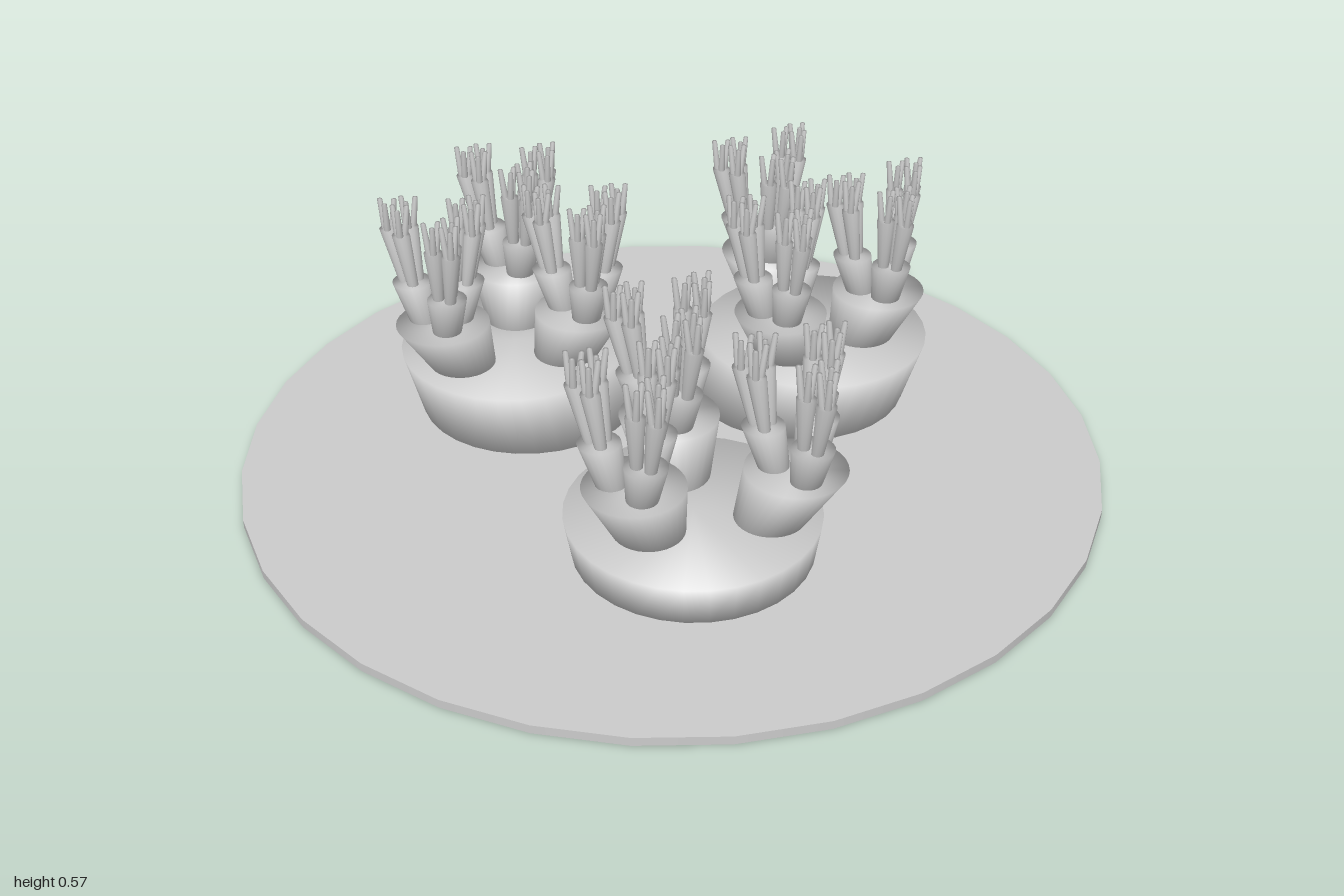
import * as THREE from 'three';
import { mergeVertices } from 'three/addons/utils/BufferGeometryUtils.js';

const material = new THREE.MeshStandardMaterial({ color: 0xcccccc });

// Heights of the joints between the five tiers, and [bottom, top] radius and sides of each tier
const HEIGHTS = [0.015, 0.15, 0.275, 0.37, 0.5, 0.57];
const TIERS = [
  { name: 'moundBase', r0: 0.266, r1: 0.277, sides: 32 },
  { name: 'trunk', r0: 0.078, r1: 0.11, sides: 32 },
  { name: 'branch', r0: 0.034, r1: 0.046, sides: 20 },
  { name: 'stalk', r0: 0.013, r1: 0.021, sides: 12 },
  { name: 'tip', r0: 0.008, r1: 0.006, sides: 8 },
];

// Clusters: foot and top centre of the mound, centres of the trunk tops,
// and the lean of the three branches on every trunk (all as [x, z])
const CLUSTERS = [
  {
    name: 'frontCluster', foot: [0, 0.395], top: [-0.008, 0.447],
    trunks: [[-0.037, 0.265], [-0.14, 0.524], [0.2, 0.5]],
    lean: [[-0.09, -0.035], [0.066, -0.06], [0.024, 0.095]],
  },
  {
    name: 'backLeftCluster', foot: [0.335, -0.235], top: [0.385, -0.268],
    trunks: [[0.294, -0.462], [0.533, -0.23], [0.278, -0.145]],
    lean: [[-0.09, -0.008], [0.074, -0.074], [0.016, 0.085]],
  },
  {
    name: 'backRightCluster', foot: [-0.315, -0.255], top: [-0.35, -0.3],
    trunks: [[-0.337, -0.458], [-0.52, -0.19], [-0.192, -0.215]],
    lean: [[-0.087, -0.05], [0.077, -0.034], [0.02, 0.08]],
  },
];

const along = (c, d, k) => [c[0] + d[0] * k, c[1] + d[1] * k];

// Leaning tapered stub with level ends, softly shaded over its rim
function stub(tier, from, to) {
  const { name, r0, r1, sides } = TIERS[tier];
  const y0 = HEIGHTS[tier] - 0.002, y1 = HEIGHTS[tier + 1], h = y1 - y0;
  let geo = new THREE.CylinderGeometry(r1, r0, h, sides);
  geo.deleteAttribute('uv');
  geo.deleteAttribute('normal');
  geo = mergeVertices(geo);
  const p = geo.attributes.position;
  for (let i = 0; i < p.count; i++) {
    const t = p.getY(i) / h + 0.5;
    p.setXYZ(i,
      p.getX(i) + from[0] + (to[0] - from[0]) * t,
      y0 + t * h,
      p.getZ(i) + from[1] + (to[1] - from[1]) * t);
  }
  geo.computeVertexNormals();
  const mesh = new THREE.Mesh(geo, material);
  mesh.name = name;
  return mesh;
}

// Three unit directions, a third of a turn apart
const triad = (turn) => [0, 1, 2].map((i) => {
  const a = turn + (i * Math.PI * 2) / 3;
  return [Math.cos(a), Math.sin(a)];
});

// Branch carrying three stalks, each with three tips
function buildBranch(centre, lean, turn) {
  const group = new THREE.Group();
  group.name = 'branchGroup';
  const top = along(centre, lean, 0.75);
  group.add(stub(2, along(centre, lean, 0.5), top));
  const crown = along(centre, lean, 0.97);
  for (const d of triad(turn)) {
    const stalkTop = along(crown, d, 0.028);
    group.add(stub(3, along(top, d, 0.019), stalkTop));
    for (const e of triad(turn + 0.3)) {
      group.add(stub(4, along(stalkTop, e, 0.01), along(stalkTop, e, 0.019)));
    }
  }
  return group;
}

function buildCluster({ name, foot, top, trunks, lean }) {
  const group = new THREE.Group();
  group.name = name;
  group.add(stub(0, foot, top));
  trunks.forEach((c, i) => {
    const out = [c[0] - top[0], c[1] - top[1]];
    group.add(stub(1, along(top, out, 0.76), c));
    lean.forEach((l, j) => group.add(buildBranch(c, l, 1.3 + 0.15 * (i - j))));
  });
  return group;
}

export function createModel() {
  const model = new THREE.Group();
  model.name = 'branchingClusters';

  // Round ground plate
  const plate = new THREE.Mesh(new THREE.CylinderGeometry(1, 1, 0.02, 32), material);
  plate.name = 'groundPlate';
  plate.position.y = 0.01;
  model.add(plate);

  for (const c of CLUSTERS) model.add(buildCluster(c));
  return model;
}
